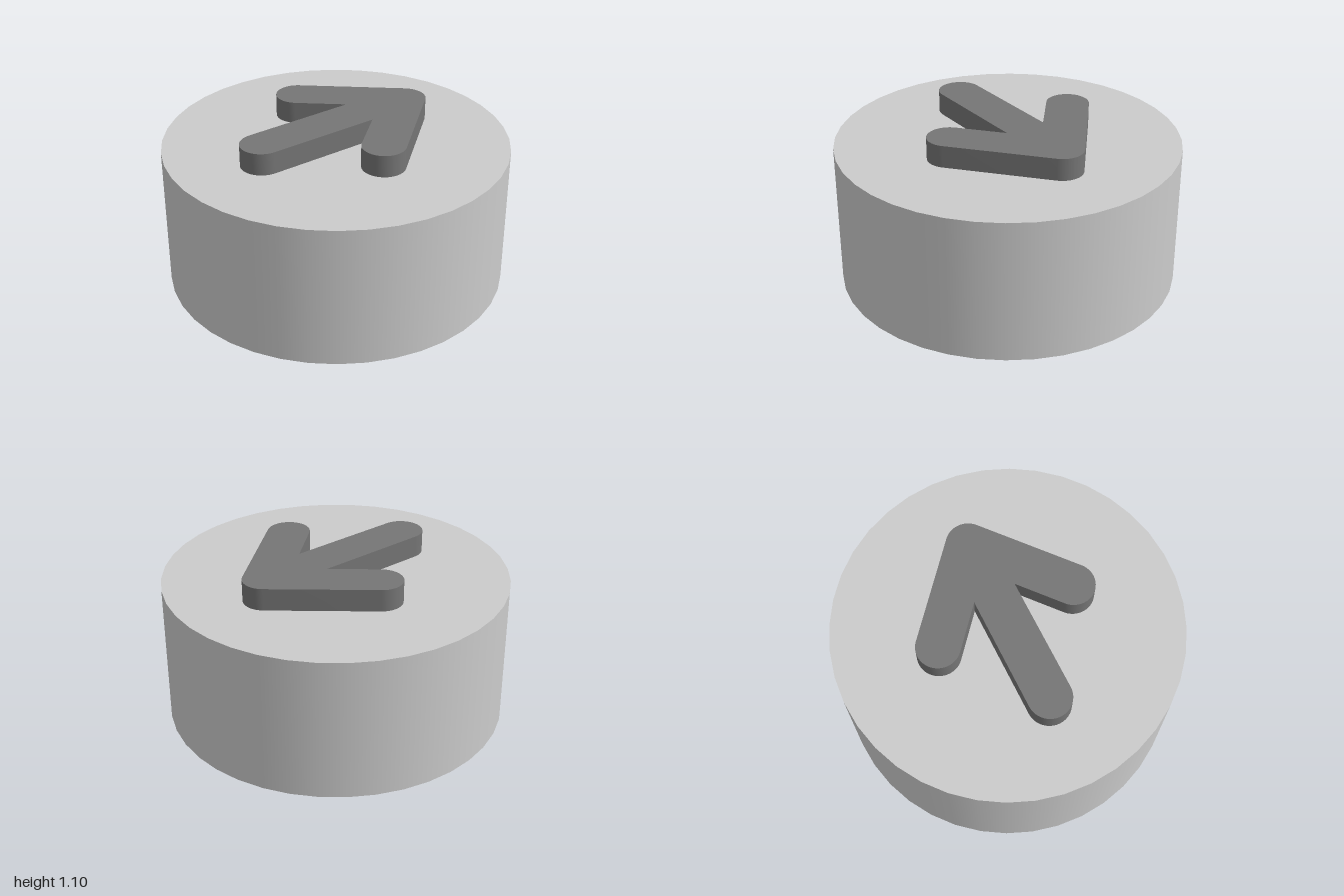
import * as THREE from 'three';
import { toCreasedNormals } from 'three/addons/utils/BufferGeometryUtils.js';

const RELIEF = 0.13; // height of each raised arrow
const BODY = 0.84;   // thickness of the disc

// Rounded arrow pointing along +x, drawn counter-clockwise
function arrowShape() {
  const r = 0.125, end = 0.505, barbX = 0.02, barbY = 0.415;
  const a = Math.atan2(barbY, end - barbX);
  const innerX = end - r / Math.sin(a) - r / Math.tan(a);
  const q = Math.PI / 2;
  const s = new THREE.Shape();
  s.absarc(-end, 0, r, q, 3 * q);                     // tail
  s.lineTo(innerX, -r);
  s.absarc(barbX, -barbY, r, q + a, 3 * q + a);       // lower barb
  s.absarc(end, 0, r, a - q, q - a);                  // tip
  s.absarc(barbX, barbY, r, q - a, 3 * q - a);        // upper barb
  s.lineTo(innerX, r);
  s.closePath();
  return s;
}

export function createModel() {
  const group = new THREE.Group();
  const grey = new THREE.MeshStandardMaterial({ color: 0xcccccc });
  const dark = new THREE.MeshStandardMaterial({ color: 0x757575 });

  // Thick round disc
  const body = new THREE.Mesh(new THREE.CylinderGeometry(1, 1, BODY, 40), grey);
  body.name = 'disc';
  body.position.y = RELIEF + BODY / 2;
  group.add(body);

  // Matching raised arrows above and below
  let geo = new THREE.ExtrudeGeometry(arrowShape(), { depth: RELIEF, bevelEnabled: false, curveSegments: 16 });
  geo.rotateX(-Math.PI / 2);
  geo = toCreasedNormals(geo, Math.PI / 6);
  for (const [name, y] of [['bottomArrow', 0], ['topArrow', RELIEF + BODY]]) {
    const arrow = new THREE.Mesh(geo, dark);
    arrow.name = name;
    arrow.position.y = y;
    group.add(arrow);
  }
  return group;
}
